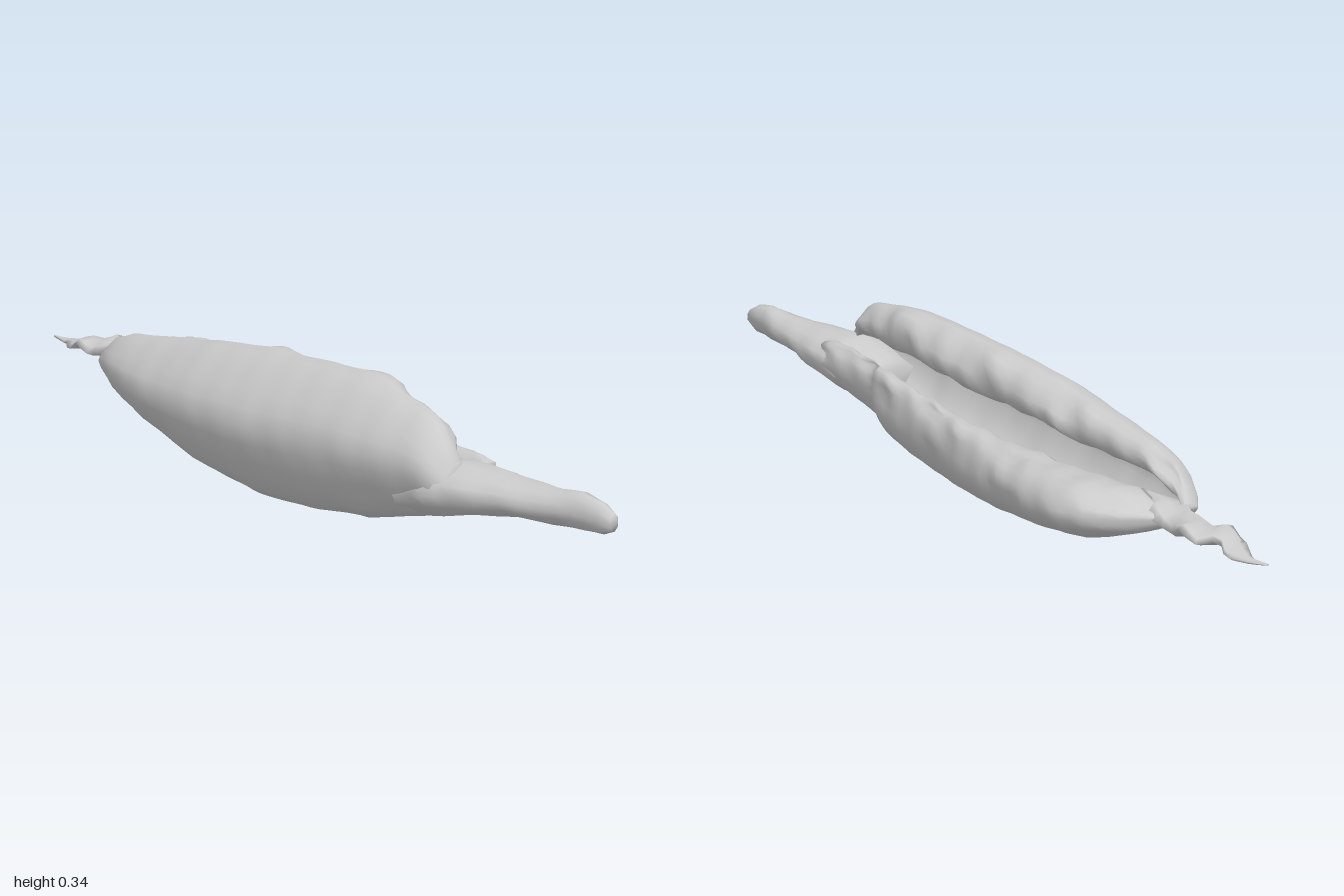
import * as THREE from 'three';

const material = new THREE.MeshStandardMaterial({ color: 0xcccccc, side: THREE.DoubleSide });
const lerp = THREE.MathUtils.lerp;

// Linear lookup in a table of stations [z, ...values], ordered by falling z
function sample(table, z) {
  let i = 0;
  while (i < table.length - 2 && table[i + 1][0] > z) i++;
  const a = table[i], b = table[i + 1];
  const t = THREE.MathUtils.clamp((a[0] - z) / (a[0] - b[0]), 0, 1);
  return a.map((v, k) => lerp(v, b[k], t));
}

// Skin a row of closed rings, each with the same number of points
function loft(name, rings) {
  const n = rings[0].length;
  const index = [];
  for (let i = 0; i < rings.length - 1; i++) {
    for (let j = 0; j < n; j++) {
      const a = i * n + j, b = i * n + (j + 1) % n;
      index.push(a, a + n, b, b, a + n, b + n);
    }
  }
  // Fan over both ends
  const last = (rings.length - 1) * n;
  for (let j = 1; j < n - 1; j++) {
    index.push(0, j, j + 1, last, last + j + 1, last + j);
  }
  const geometry = new THREE.BufferGeometry().setFromPoints(rings.flat());
  geometry.setIndex(index);
  geometry.computeVertexNormals();
  const mesh = new THREE.Mesh(geometry, material);
  mesh.name = name;
  return mesh;
}

// Irregular dried-skin wrinkle
const wrinkle = (z, k) =>
  0.5 * Math.sin(z * 17 + k * 2.6) + 0.3 * Math.sin(z * 37 - k * 3.7) + 0.2 * Math.sin(z * 61 + k * 5.1);

// z, left side, right side, bottom, left rim top, right rim top, left rim edge, right rim edge
const shellStations = [
  [0.62, -0.165, -0.003, 0.11, 0.215, 0.198, -0.1, -0.06],
  [0.59, -0.18, 0.006, 0.097, 0.255, 0.205, -0.085, -0.055],
  [0.55, -0.19, 0.012, 0.085, 0.3, 0.21, -0.065, -0.045],
  [0.45, -0.205, 0.016, 0.06, 0.318, 0.21, -0.045, -0.03],
  [0.36, -0.211, 0.02, 0.036, 0.335, 0.212, -0.022, -0.015],
  [0.33, -0.213, 0.052, 0.031, 0.338, 0.215, -0.015, -0.005],
  [0.2, -0.218, 0.078, 0.012, 0.338, 0.21, -0.002, 0.015],
  [0, -0.221, 0.11, 0, 0.33, 0.2, 0.003, 0.028],
  [-0.2, -0.208, 0.15, 0.016, 0.312, 0.195, 0.002, 0.036],
  [-0.4, -0.175, 0.198, 0.052, 0.28, 0.205, -0.003, 0.043],
  [-0.55, -0.13, 0.218, 0.085, 0.26, 0.214, -0.008, 0.043],
  [-0.62, -0.095, 0.2, 0.107, 0.238, 0.21, -0.012, 0.045],
  [-0.67, -0.06, 0.15, 0.128, 0.208, 0.19, -0.01, 0.045],
  [-0.7, -0.035, 0.075, 0.147, 0.18, 0.172, 0, 0.03],
];

// C-shaped cross-section: rolled left rim, full belly, fat right rim, hollow inside
function shellRing(z) {
  const [, xl, xr, yb, yl, yr, gl, gr] = sample(shellStations, z);
  const X = (t) => lerp(xl, xr, t), L = (t) => lerp(xl, gl, t), R = (t) => lerp(gr, xr, t);
  const Y = (t) => lerp(yb, yl, t), V = (t) => lerp(yb, yr, t);
  const outline = [
    [gl, Y(0.78)], [L(0.9), Y(0.94)], [L(0.62), yl], [L(0.19), Y(0.79)], [xl, Y(0.56)],
    [X(0.08), Y(0.25)], [X(0.24), Y(0.05)], [X(0.5), yb], [X(0.83), V(0.13)],
    [xr, V(0.48)], [R(0.98), V(0.8)], [R(0.72), V(0.97)], [R(0.38), V(0.99)], [gr, V(0.86)],
    [R(0.2), V(0.5)], [X(0.5), V(0.2)], [X(0.24), Y(0.24)], [X(0.12), Y(0.54)],
    [L(0.42), Y(0.73)], [L(0.82), Y(0.67)],
  ];
  const rimRows = [0, 1, 11, 12, 13, 19];
  const points = outline.map(([x, y], k) => {
    const amount = rimRows.includes(k) ? 0.015 : k === 9 || k === 10 ? 0.008 : 0.003;
    return new THREE.Vector3(
      x + wrinkle(z, k) * amount,
      Math.max(0, y + wrinkle(z, k + 7) * amount * 0.6), z);
  });
  return new THREE.CatmullRomCurve3(points, true).getPoints(46).slice(0, -1);
}

// z, centre x, centre y, half width, half height, twist
const frontTip = [
  [1, -0.058, 0.166, 0.012, 0.018, 0],
  [0.98, -0.058, 0.168, 0.02, 0.032, 0],
  [0.9, -0.061, 0.173, 0.034, 0.04, 0],
  [0.86, -0.064, 0.167, 0.044, 0.036, 0],
  [0.75, -0.072, 0.165, 0.067, 0.038, 0],
  [0.65, -0.079, 0.157, 0.089, 0.052, 0],
  [0.58, -0.085, 0.149, 0.1, 0.06, 0],
  [0.46, -0.09, 0.125, 0.088, 0.05, 0],
];
const backTip = [
  [-0.6, 0.03, 0.16, 0.04, 0.03, 0],
  [-0.68, 0.03, 0.163, 0.055, 0.027, 0.2],
  [-0.74, 0.045, 0.16, 0.038, 0.02, -0.3],
  [-0.8, 0.055, 0.168, 0.056, 0.014, 0.25],
  [-0.84, 0.052, 0.167, 0.055, 0.012, -0.15],
  [-0.87, 0.03, 0.163, 0.036, 0.011, 0.3],
  [-0.91, 0.055, 0.155, 0.028, 0.008, -0.3],
  [-0.95, 0.056, 0.15, 0.014, 0.006, 0.2],
  [-1, 0.05, 0.155, 0.002, 0.002, 0],
];

// Crumpled oval cross-section
function tipRing(table, z, sides, rough) {
  const [, cx, cy, rx, ry, twist] = sample(table, z);
  return Array.from({ length: sides }, (_, k) => {
    const a = (k / sides) * Math.PI * 2;
    const s = 1 + rough * wrinkle(z, k);
    const x = Math.cos(a) * rx * s, y = Math.sin(a) * ry * s;
    return new THREE.Vector3(
      cx + x * Math.cos(twist) - y * Math.sin(twist),
      cy + x * Math.sin(twist) + y * Math.cos(twist), z);
  });
}

const steps = (from, to, n) => Array.from({ length: n + 1 }, (_, i) => lerp(from, to, i / n));

export function createModel() {
  const pod = new THREE.Group();
  pod.name = 'openSeedPod';
  pod.add(loft('podShell', steps(0.62, -0.7, 46).map(shellRing)));
  pod.add(loft('frontTip', steps(1, 0.46, 18).map((z) => tipRing(frontTip, z, 14, 0.08))));
  pod.add(loft('witheredBackTip', steps(-0.6, -1, 20).map((z) => tipRing(backTip, z, 8, 0.25))));
  return pod;
}
